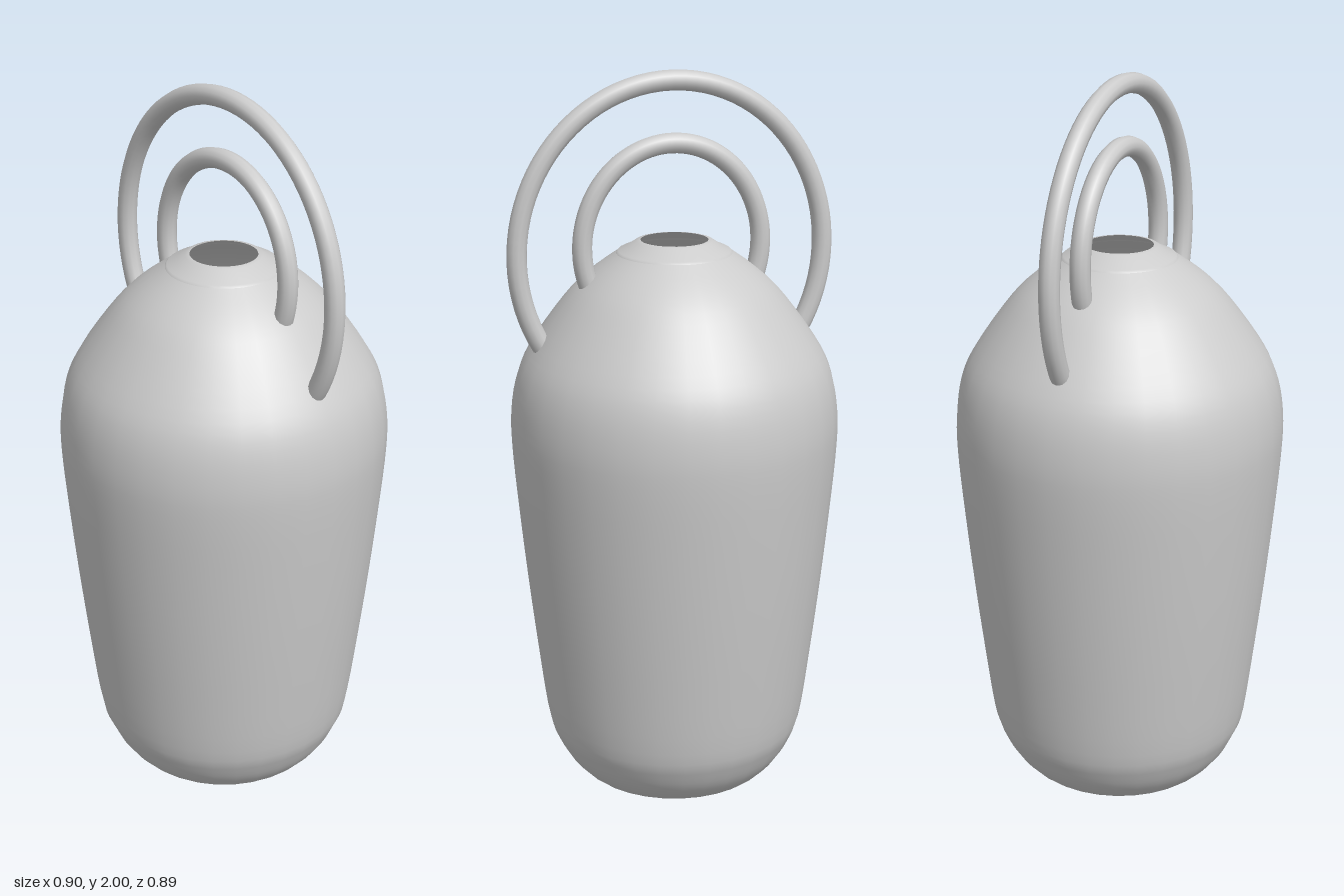
import * as THREE from 'three';

const material = new THREE.MeshStandardMaterial({ color: 0xcccccc, side: THREE.DoubleSide });
const CENTRE_X = -0.006;

function addMesh(group, name, geometry, x = 0) {
  const mesh = new THREE.Mesh(geometry, material);
  mesh.name = name;
  mesh.position.x = x;
  group.add(mesh);
}

const points = (list) => list.map(([x, y]) => new THREE.Vector2(x, y));

// Elliptical wire arch whose two ends sink into the shoulder
function archGeometry(rx, ry, cy, dip) {
  const path = [];
  const steps = 32;
  for (let i = 0; i <= steps; i++) {
    const a = -dip + (Math.PI + 2 * dip) * (i / steps);
    path.push(new THREE.Vector3(rx * Math.cos(a), cy + ry * Math.sin(a), 0));
  }
  return new THREE.TubeGeometry(new THREE.CatmullRomCurve3(path), 64, 0.027, 12);
}

export function createModel() {
  const group = new THREE.Group();

  // Hollow body: flat base, rounded foot, widening wall and domed shoulder
  const wall = new THREE.SplineCurve(points([
    [0.16, 0.008], [0.245, 0.03], [0.3, 0.08], [0.335, 0.14], [0.358, 0.21],
    [0.383, 0.4], [0.406, 0.6], [0.426, 0.8], [0.441, 0.98], [0.442, 1.09],
    [0.425, 1.19], [0.385, 1.275], [0.295, 1.4], [0.23, 1.465], [0.155, 1.52],
  ])).getPoints(48);
  const base = points([[0.0001, 0], [0.08, 0.002]]);
  addMesh(group, 'body', new THREE.LatheGeometry([...base, ...wall], 32), CENTRE_X);

  // Sloping collar with an open mouth
  const collar = points([[0.155, 0], [0.15, 0.006], [0.125, 0.017], [0.102, 0.032], [0.09, 0.034]]);
  const collarGeometry = new THREE.LatheGeometry(collar, 32);
  collarGeometry.translate(0, 1.52, 0);
  addMesh(group, 'collar', collarGeometry, CENTRE_X);

  // Two nested carrying handles
  addMesh(group, 'outerHandle', archGeometry(0.42, 0.45, 1.523, 0.62));
  addMesh(group, 'innerHandle', archGeometry(0.245, 0.27, 1.54, 0.45));

  return group;
}
